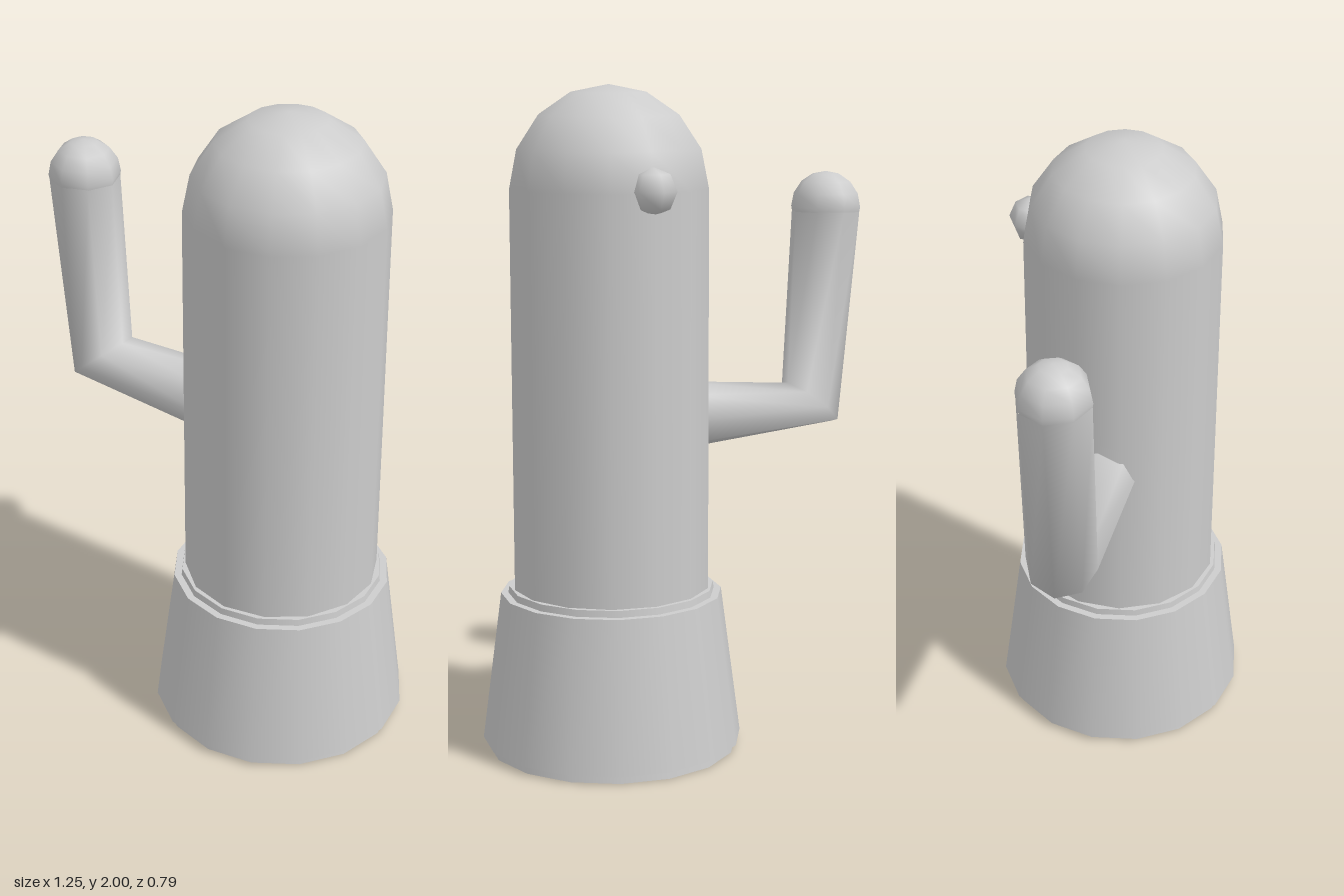
import * as THREE from 'three';

const CX = 0.23; // axis of pot and trunk

export function createModel() {
  const group = new THREE.Group();
  const grey = new THREE.MeshStandardMaterial({ color: 0xcccccc });
  grey.name = 'light grey';

  const add = (name, geometry, x, y, z = 0) => {
    const mesh = new THREE.Mesh(geometry, grey);
    mesh.name = name;
    mesh.position.set(x, y, z);
    group.add(mesh);
    return mesh;
  };

  // Pot: a slim core that peeks out above and below the outer wall
  add('potCore', new THREE.CylinderGeometry(0.31, 0.38, 0.5, 16), CX, 0.25);
  add('pot', new THREE.CylinderGeometry(0.335, 0.395, 0.455, 16), CX, 0.2525);

  // Trunk with rounded crown
  add('trunk', new THREE.CylinderGeometry(0.298, 0.298, 1.22, 14, 1, true), CX, 1.09);
  const dome = new THREE.SphereGeometry(0.298, 14, 4, 0, Math.PI * 2, 0, Math.PI / 2);
  add('crown', dome.rotateY(Math.PI / 2), CX, 1.7).scale.y = 0.3 / 0.298;

  // Arm: three rings with a mitred elbow
  const rings = [
    { c: [0.02, 1.0], u: [0, 0.107] },
    { c: [-0.47, 1.0025], u: [0.08, 0.0675] },
    { c: [-0.52, 1.605], u: [0.107, 0.005] },
  ];
  add('arm', loft(rings, 0.108, 8), 0, 0);
  add('armTip', new THREE.SphereGeometry(0.11, 8, 8), -0.52, 1.617);

  // Small bud on the back
  add('bud', new THREE.SphereGeometry(0.07, 6, 4).rotateY(Math.PI / 2), CX, 1.705, -0.28);

  return group;
}

// Skin between elliptical rings; u is the in-plane radius, depth the z radius
function loft(rings, depth, sides) {
  const positions = [];
  const indices = [];
  rings.forEach(({ c, u }, i) => {
    for (let k = 0; k < sides; k++) {
      const a = (k / sides) * Math.PI * 2;
      const cos = Math.cos(a);
      positions.push(c[0] + u[0] * cos, c[1] + u[1] * cos, depth * Math.sin(a));
      if (i < rings.length - 1) {
        const p = i * sides + k;
        const q = i * sides + ((k + 1) % sides);
        indices.push(p, p + sides, q, q, p + sides, q + sides);
      }
    }
  });
  const geometry = new THREE.BufferGeometry();
  geometry.setAttribute('position', new THREE.Float32BufferAttribute(positions, 3));
  geometry.setIndex(indices);
  geometry.computeVertexNormals();
  return geometry;
}
